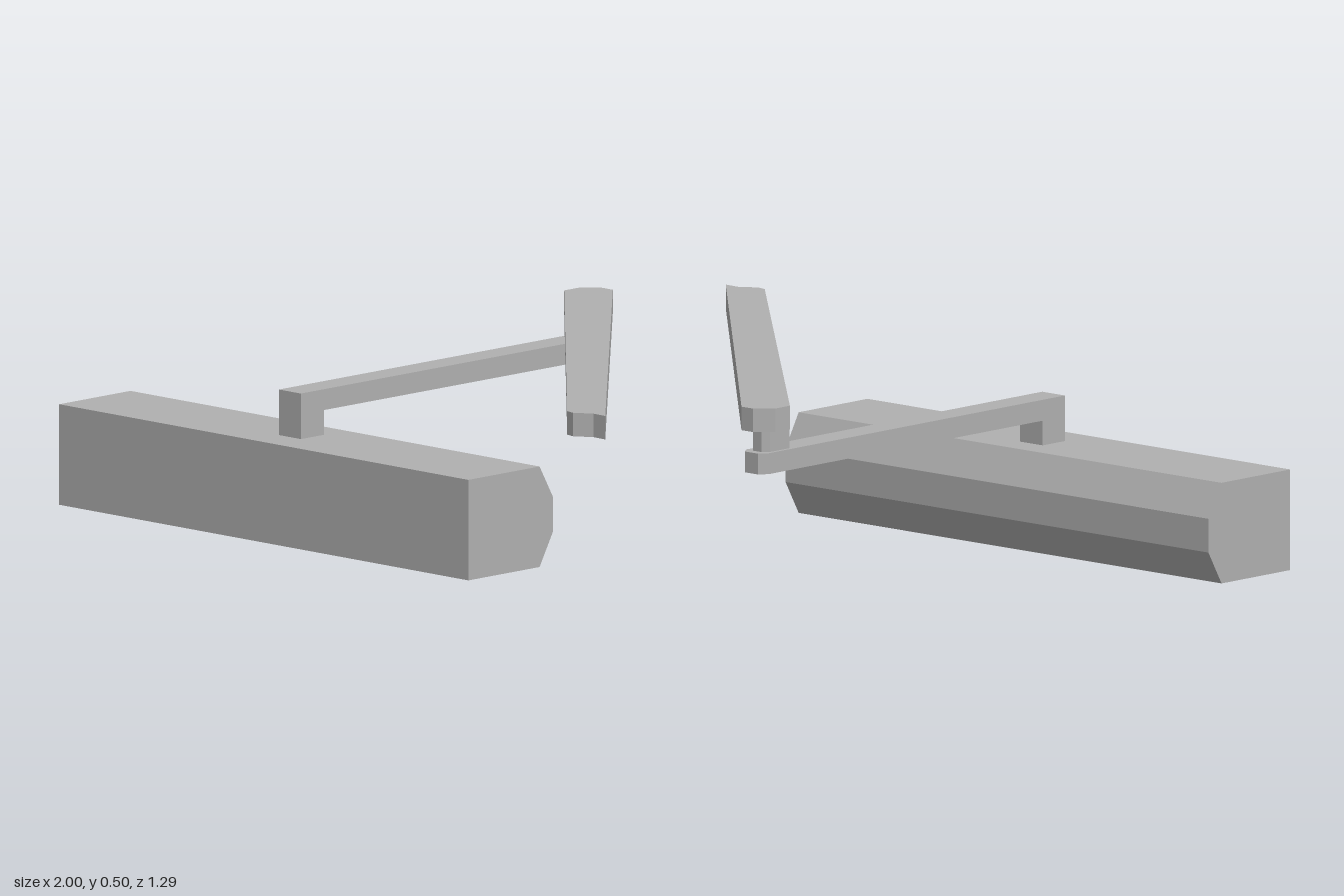
import * as THREE from 'three';

export function createModel() {
  const model = new THREE.Group();
  const grey = new THREE.MeshStandardMaterial({ color: 0xb0b0b0 });
  grey.name = 'painted metal grey';

  const add = (name, geometry) => {
    const mesh = new THREE.Mesh(geometry, grey);
    mesh.name = name;
    model.add(mesh);
  };
  const extrude = (points, depth) => new THREE.ExtrudeGeometry(
    new THREE.Shape(points.map(([a, b]) => new THREE.Vector2(a, b))),
    { depth, bevelEnabled: false });

  // Extrude a plan outline of [x, z] points between two heights
  const plate = (name, outline, y0, y1) => add(name,
    extrude(outline.map(([x, z]) => [x, -z]), y1 - y0).rotateX(-Math.PI / 2).translate(0, y0, 0));

  // Extrude a side profile of [z, y] points between two x positions
  const bar = (name, profile, x0, x1) => add(name,
    extrude(profile.map(([z, y]) => [-z, y]), x1 - x0).rotateY(Math.PI / 2).translate(x0, 0, 0));

  // Long housing with a chamfered back
  bar('housing', [[0.607, 0], [0.607, 0.265], [0.345, 0.265],
    [0.295, 0.177], [0.295, 0.088], [0.345, 0]], -1, 0.492);

  // Spindle rising from the housing, then the lower arm with a clipped tip
  bar('spindle', [[0.51, 0.265], [0.51, 0.33], [0.425, 0.33], [0.425, 0.265]], -0.295, -0.215);
  plate('lowerArm', [[-0.295, 0.51], [-0.215, 0.51], [-0.215, -0.62],
    [-0.232, -0.643], [-0.278, -0.643], [-0.295, -0.62]], 0.33, 0.385);

  // Elbow pin joining the two arms
  plate('elbowPin', [[-0.285, -0.53], [-0.225, -0.53], [-0.225, -0.605],
    [-0.24, -0.62], [-0.27, -0.62], [-0.285, -0.605]], 0.385, 0.44);

  // Diagonal upper arm with a rounded elbow and a notched free end
  plate('upperArm', [[-0.305, -0.605], [-0.305, -0.55], [0.88, 0.635], [0.907, 0.641],
    [0.953, 0.612], [0.998, 0.614], [-0.222, -0.645], [-0.262, -0.645]], 0.44, 0.502);

  return model;
}
